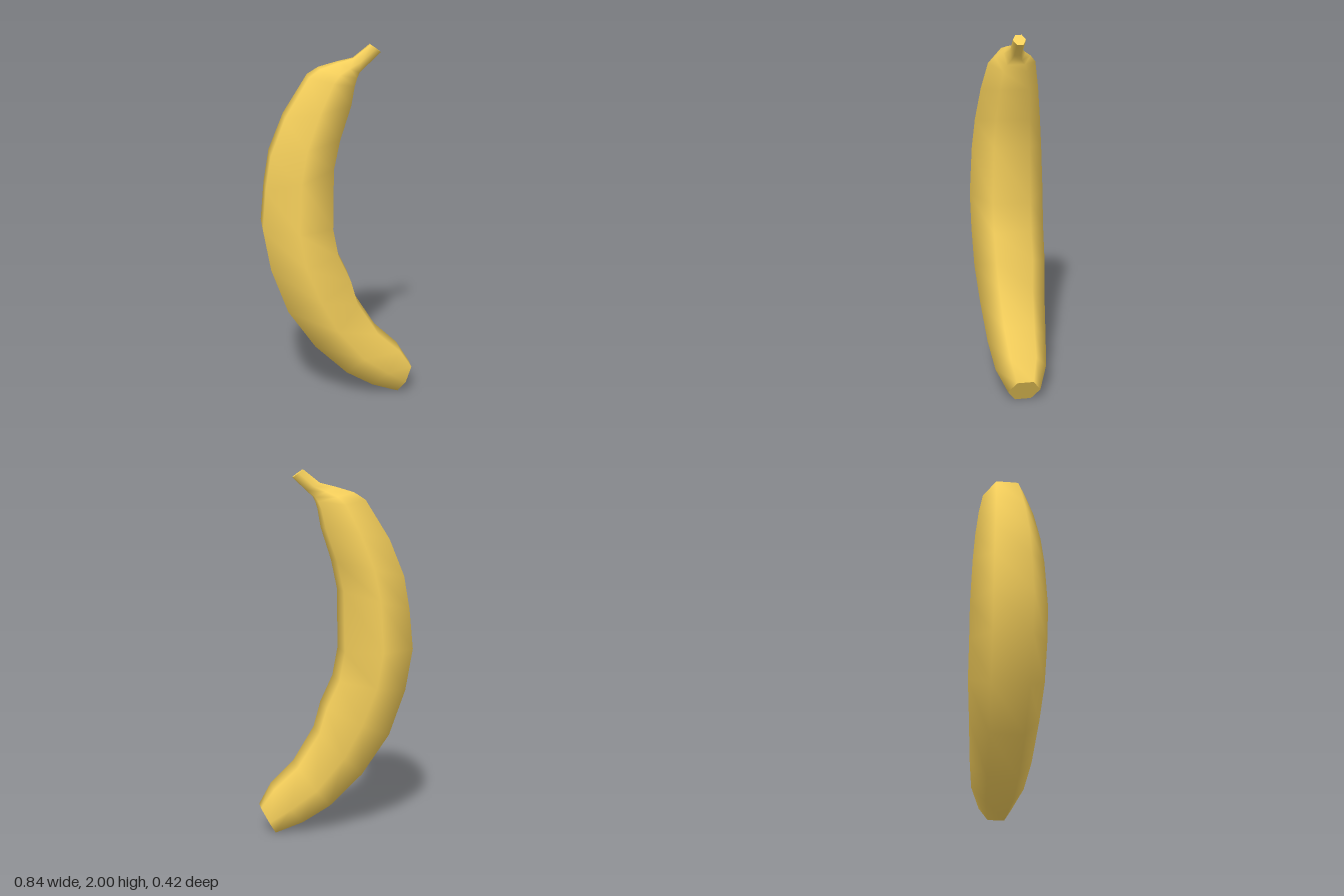
import * as THREE from 'three';

// Cross-sections from blossom end to stem: outer x, y, inner x, y, half width in z
const SECTIONS = [
  [0.34, 0.005, 0.42, 0.15, 0.09],
  [0.19, 0.065, 0.35, 0.26, 0.143],
  [0.04, 0.155, 0.22, 0.38, 0.166],
  [-0.14, 0.33, 0.10, 0.57, 0.187],
  [-0.29, 0.55, 0.06, 0.71, 0.204],
  [-0.38, 0.80, -0.01, 0.86, 0.208],
  [-0.42, 1.03, -0.04, 1.02, 0.21],
  [-0.40, 1.25, -0.035, 1.35, 0.197],
  [-0.37, 1.43, 0.0, 1.51, 0.182],
  [-0.29, 1.63, 0.06, 1.69, 0.157],
  [-0.16, 1.84, 0.08, 1.79, 0.127],
  [-0.10, 1.88, 0.095, 1.83, 0.095],
  [0.0, 1.91, 0.11, 1.855, 0.058],
  [0.08, 1.93, 0.15, 1.89, 0.034],
  [0.17, 2.0, 0.225, 1.96, 0.034],
];
const SIDES = 6;

// Hexagonal ring with flats on the outer and inner curve, ridges at +z and -z
function ring([ox, oy, ix, iy, w]) {
  const points = [];
  for (let k = 0; k < SIDES; k++) {
    const t = ((k + 0.5) / SIDES) * Math.PI * 2;
    const c = Math.cos(t) / Math.cos(Math.PI / SIDES) / 2;
    points.push((ox + ix) / 2 + (ox - ix) * c, (oy + iy) / 2 + (oy - iy) * c, w * Math.sin(t));
  }
  return points;
}

function build(positions, index) {
  const geometry = new THREE.BufferGeometry();
  geometry.setAttribute('position', new THREE.Float32BufferAttribute(positions, 3));
  geometry.setIndex(index);
  geometry.computeVertexNormals();
  return geometry;
}

// Smooth skin lofted through the rings
function skinGeometry() {
  const index = [];
  for (let i = 0; i < SECTIONS.length - 1; i++) {
    for (let k = 0; k < SIDES; k++) {
      const a = i * SIDES + k;
      const b = i * SIDES + ((k + 1) % SIDES);
      index.push(a, b, a + SIDES, b, b + SIDES, a + SIDES);
    }
  }
  return build(SECTIONS.flatMap(ring), index);
}

// Flat end closing one ring
function capGeometry(section, facesUp) {
  const index = [];
  for (let k = 1; k < SIDES - 1; k++) index.push(0, facesUp ? k : k + 1, facesUp ? k + 1 : k);
  return build(ring(section), index);
}

export function createModel() {
  const group = new THREE.Group();
  group.name = 'banana';
  const material = new THREE.MeshStandardMaterial({ color: 0xf5cf5b });
  const add = (name, geometry) => {
    const mesh = new THREE.Mesh(geometry, material);
    mesh.name = name;
    group.add(mesh);
  };
  add('skin', skinGeometry());
  add('blossomEnd', capGeometry(SECTIONS[0], false));
  add('stemEnd', capGeometry(SECTIONS[SECTIONS.length - 1], true));
  return group;
}
